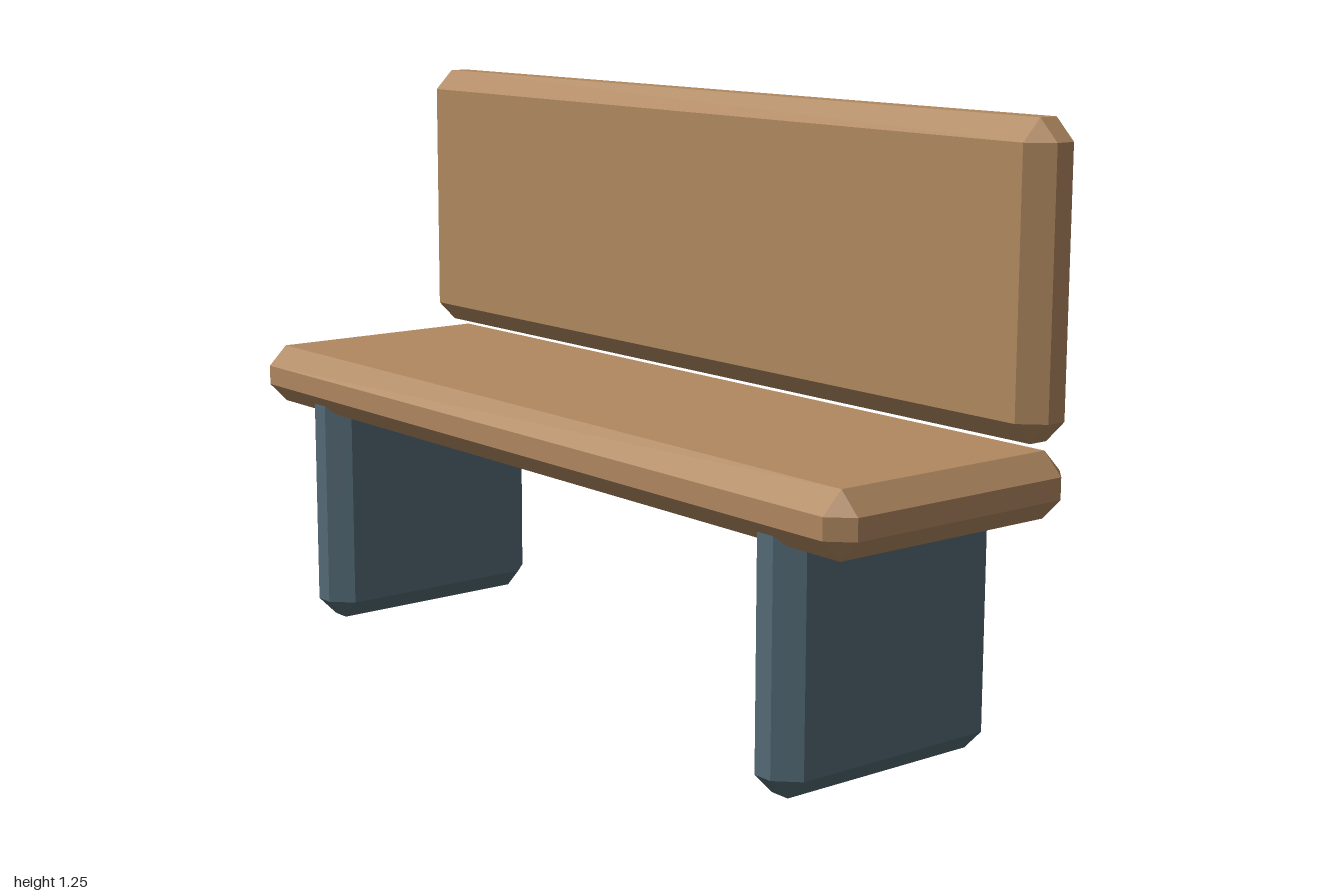
import * as THREE from 'three';
import { ConvexGeometry } from 'three/addons/geometries/ConvexGeometry.js';

const CHAMFER = 0.044;

// Box with flat chamfered edges and triangular cut corners
function chamferedBox(w, h, d, c = CHAMFER) {
  const points = [];
  for (const sx of [-1, 1]) for (const sy of [-1, 1]) for (const sz of [-1, 1]) {
    const x = w / 2, y = h / 2, z = d / 2;
    points.push(
      new THREE.Vector3(sx * x, sy * (y - c), sz * (z - c)),
      new THREE.Vector3(sx * (x - c), sy * y, sz * (z - c)),
      new THREE.Vector3(sx * (x - c), sy * (y - c), sz * z)
    );
  }
  return new ConvexGeometry(points);
}

export function createModel() {
  const bench = new THREE.Group();
  bench.name = 'bench';
  const wood = new THREE.MeshStandardMaterial({ color: 0xb08860, flatShading: true });
  const metal = new THREE.MeshStandardMaterial({ color: 0x546a75, flatShading: true });

  const add = (name, size, position, material) => {
    const mesh = new THREE.Mesh(chamferedBox(...size), material);
    mesh.name = name;
    mesh.position.set(...position);
    bench.add(mesh);
  };

  // Wooden slabs
  add('seat', [2, 0.132, 0.611], [0, 0.557, 0.002], wood);
  add('backrest', [2, 0.611, 0.132], [0, 0.946, -0.241], wood);

  // Slab legs, their tops sunk into the seat
  for (const [name, side] of [['leftLeg', 1], ['rightLeg', -1]]) {
    add(name, [0.132, 0.556, 0.556], [side * 0.776, 0.278, 0.004], metal);
  }
  return bench;
}
